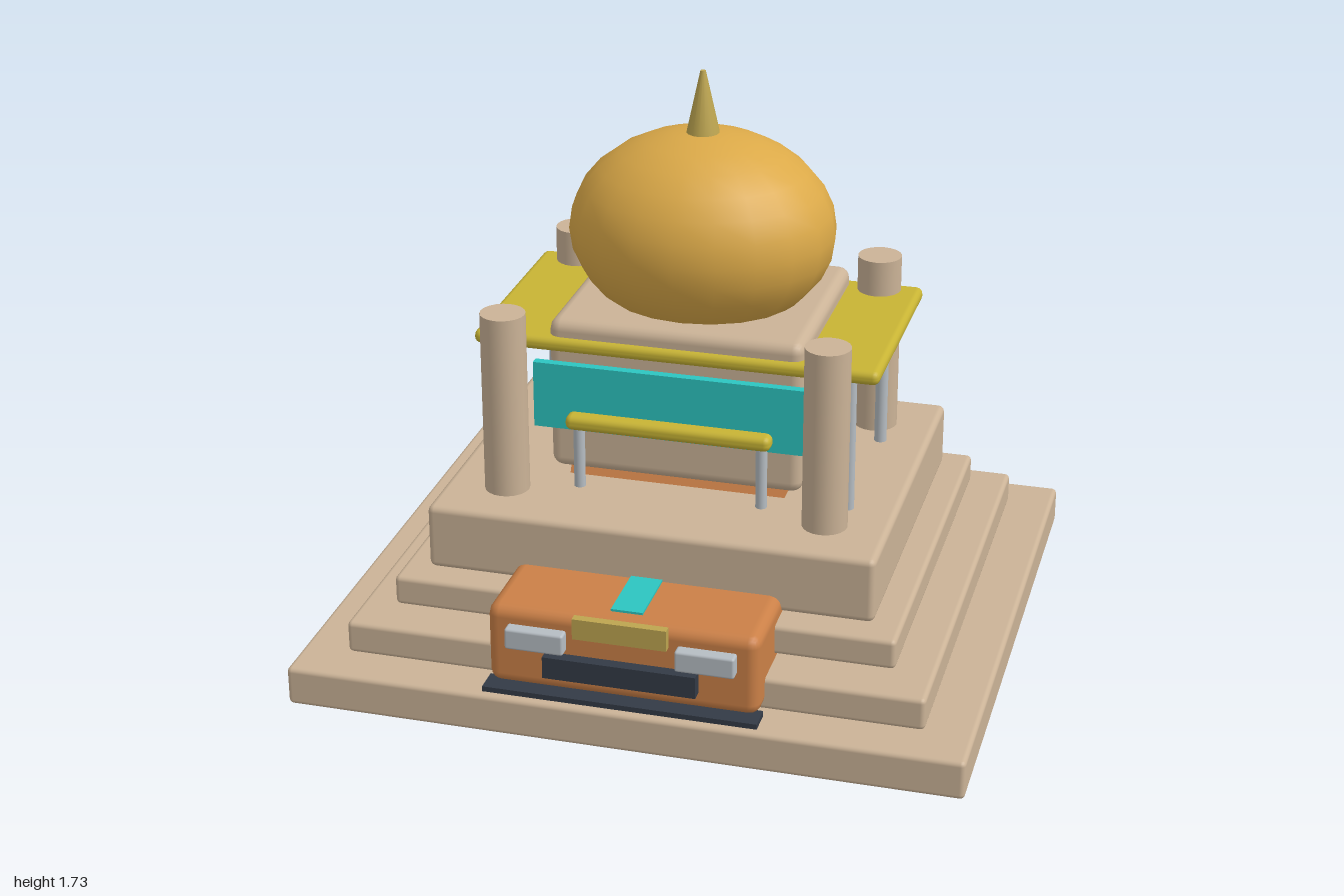
import * as THREE from 'three';
import { RoundedBoxGeometry } from 'three/addons/geometries/RoundedBoxGeometry.js';

const mat = (name, color) => {
  const m = new THREE.MeshStandardMaterial({ color });
  m.name = name;
  return m;
};

export function createModel() {
  const model = new THREE.Group();
  model.name = 'domedPavilionWithCar';
  const stone = mat('sandstone', 0xcbb397);
  const gold = mat('domeGold', 0xdba948);
  const brass = mat('brass', 0xbda550);
  const yellow = mat('awningYellow', 0xc8b434);
  const teal = mat('teal', 0x2cc5c0);
  const orange = mat('carOrange', 0xcb8047);
  const dark = mat('darkTrim', 0x333a46);
  const silver = mat('silver', 0xb6bdc3);
  const red = mat('lampRed', 0xc03a30);

  const add = (name, geometry, material, x, y, z, parent = model) => {
    const mesh = new THREE.Mesh(geometry, material);
    mesh.name = name;
    mesh.position.set(x, y, z);
    parent.add(mesh);
    return mesh;
  };
  // box given by its limits on each axis; r > 0 rounds the edges
  const box = (name, material, [x0, x1], [y0, y1], [z0, z1], r = 0, parent = model) => {
    const s = [x1 - x0, y1 - y0, z1 - z0];
    const g = r ? new RoundedBoxGeometry(...s, 2, r) : new THREE.BoxGeometry(...s);
    return add(name, g, material, (x0 + x1) / 2, (y0 + y1) / 2, (z0 + z1) / 2, parent);
  };
  const post = (name, material, r, x, y0, y1, z) =>
    add(name, new THREE.CylinderGeometry(r, r, y1 - y0, 20), material, x, (y0 + y1) / 2, z);

  // stepped platform: half width, bottom, top, half depth
  [
    ['base', 1, 0, 0.12, 0.88, 0.015],
    ['lowerStep', 0.86, 0.12, 0.22, 0.745, 0.015],
    ['upperStep', 0.75, 0.235, 0.327, 0.63, 0.015],
    ['terrace', 0.67, 0.33, 0.53, 0.552, 0.02],
  ].forEach(([name, w, y0, y1, d, r]) => box(name, stone, [-w, w], [y0, y1], [-d, d], r));

  // temple hall, dome and spire
  const cz = -0.077;
  box('hall', stone, [-0.385, 0.385], [0.555, 1.032], [-0.41, 0.25], 0.035);
  const dome = add('dome', new THREE.SphereGeometry(1, 20, 14), gold, 0, 1.24, cz);
  dome.scale.set(0.402, 0.302, 0.352);
  add('spire', new THREE.CylinderGeometry(0.008, 0.05, 0.19, 16), brass, 0, 1.63, cz);

  // corner pillars and roof poles
  for (const x of [-1, 1]) {
    for (const z of [-1, 1]) {
      post('pillar', stone, 0.067, x * 0.482, 0.52, 1.09, z * 0.365);
      post('roofPole', silver, 0.019, x * 0.523, 0.52, 0.95, z * 0.24);
    }
  }
  box('roofAwning', yellow, [-0.61, 0.61], [0.936, 0.98], [-0.42, 0.268], 0.02);

  // small awnings over the front and back doors
  for (const [z0, z1, poleZ] of [[0.22, 0.343, 0.3], [-0.493, -0.37, -0.452]]) {
    box('doorAwning', yellow, [-0.31, 0.31], [0.723, 0.77], [z0, z1], 0.02);
    for (const x of [-0.277, 0.277]) post('doorPole', silver, 0.017, x, 0.52, 0.74, poleZ);
  }
  box('banner', teal, [-0.415, 0.415], [0.71, 0.915], [0.275, 0.302]);

  // car running through the platform
  const car = new THREE.Group();
  car.name = 'car';
  model.add(car);
  box('carBody', orange, [-0.4, 0.4], [0.13, 0.38], [-0.812, 0.815], 0.035, car);

  // tapering cabin, narrower at the roof
  const cabinShape = new THREE.Shape([
    [-0.47, 0.37], [0.32, 0.37], [0.21, 0.56], [-0.41, 0.56],
  ].map(([z, y]) => new THREE.Vector2(-z, y)));
  const cabinGeo = new THREE.ExtrudeGeometry(cabinShape, { depth: 0.66, bevelEnabled: false });
  cabinGeo.translate(0, 0, -0.33).rotateY(Math.PI / 2);
  add('cabin', cabinGeo, orange, 0, 0, 0, car);
  const rearWindow = add('rearWindow', new THREE.BoxGeometry(0.46, 0.13, 0.009), dark, 0, 0.555, -0.437, car);
  rearWindow.rotation.x = 0.3;

  for (const s of [-1, 1]) {
    const side = (a, b) => (s > 0 ? [a, b] : [-b, -a]);
    box('sideWindow', silver, side(0.328, 0.337), [0.42, 0.55], [-0.1, 0.03], 0, car);
    box('sideStripe', red, side(0.398, 0.406), [0.2, 0.25], [-0.24, 0.235], 0, car);
    box('headlight', silver, side(0.163, 0.337), [0.265, 0.33], [0.8, 0.85], 0.008, car);
    box('tailLight', red, side(0.163, 0.337), [0.275, 0.333], [-0.845, -0.8], 0.008, car);
    box('wingStrut', dark, side(0.245, 0.28), [0.37, 0.49], [-0.79, -0.752], 0, car);
  }
  box('wing', dark, [-0.367, 0.367], [0.487, 0.51], [-0.82, -0.718], 0, car);
  box('grille', dark, [-0.225, 0.225], [0.188, 0.255], [0.8, 0.85], 0, car);
  box('hoodBadgePlate', brass, [-0.138, 0.138], [0.32, 0.384], [0.812, 0.838], 0, car);
  box('hoodStripe', teal, [-0.047, 0.047], [0.379, 0.387], [0.3, 0.757], 0, car);
  box('frontSplitter', dark, [-0.405, 0.405], [0.121, 0.137], [0.78, 0.857], 0, car);
  box('rearSplitter', dark, [-0.367, 0.367], [0.121, 0.137], [-0.857, -0.78], 0, car);
  return model;
}
